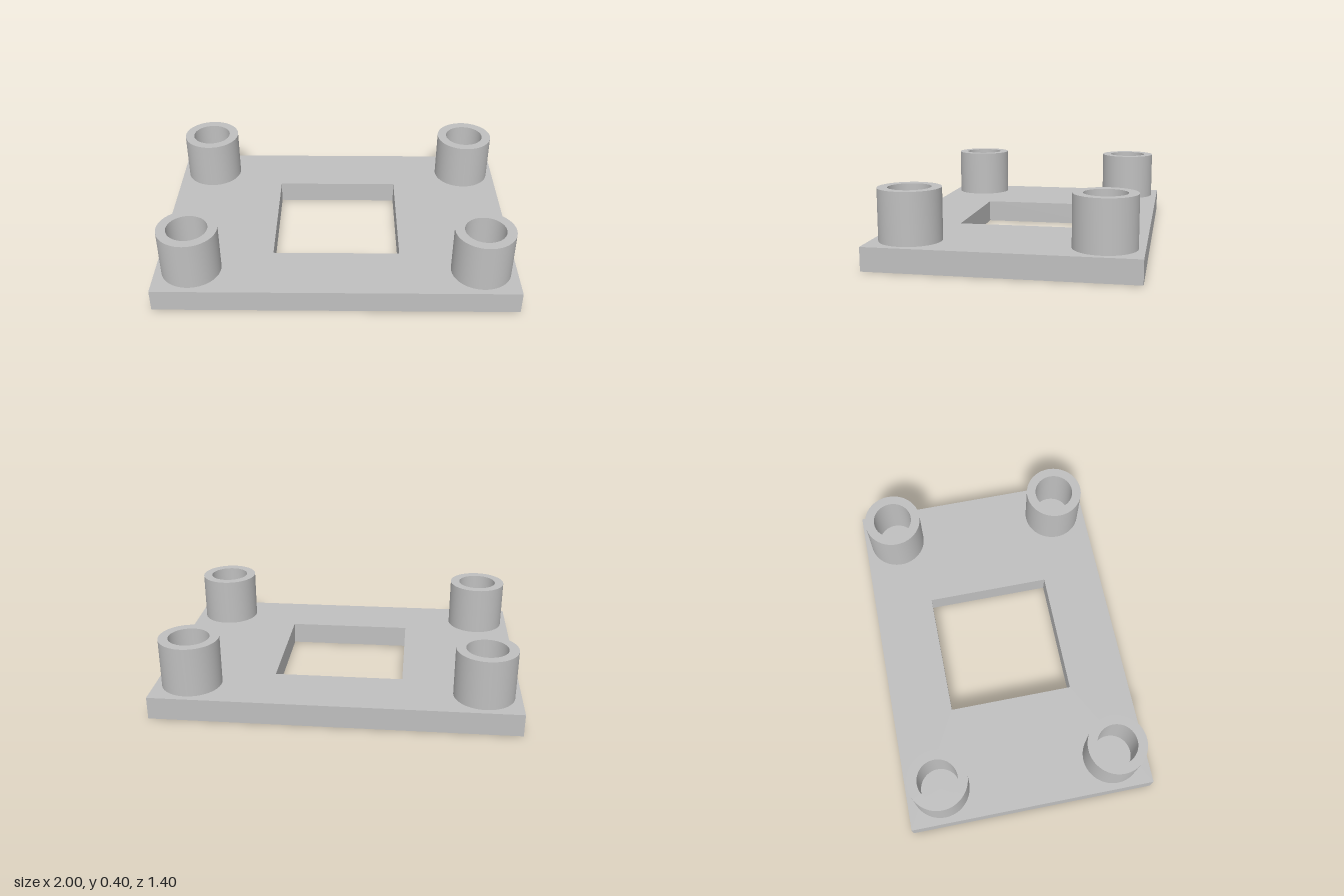
import * as THREE from 'three';
import { toCreasedNormals } from 'three/addons/utils/BufferGeometryUtils.js';

const PLATE_TOP = 0.126, POST_TOP = 0.402;

// Traces a centred rectangle onto a shape or hole path
function rectangle(path, halfW, halfD) {
  return path.moveTo(-halfW, -halfD).lineTo(halfW, -halfD)
    .lineTo(halfW, halfD).lineTo(-halfW, halfD).closePath();
}

export function createModel() {
  const model = new THREE.Group();
  model.name = 'mountingPlate';
  const grey = new THREE.MeshStandardMaterial({ color: 0xbfbfbf });
  grey.name = 'plain grey';

  // Flat plate with a square window
  const outline = rectangle(new THREE.Shape(), 1, 0.7);
  outline.holes.push(rectangle(new THREE.Path(), 0.357, 0.357));
  const plateGeometry = new THREE.ExtrudeGeometry(outline, { depth: PLATE_TOP, bevelEnabled: false });
  plateGeometry.rotateX(-Math.PI / 2);
  const plate = new THREE.Mesh(plateGeometry, grey);
  plate.name = 'basePlate';
  model.add(plate);

  // Hollow post: outer wall, rim, bore and bore floor
  const profile = [
    [0.165, PLATE_TOP], [0.165, POST_TOP], [0.112, POST_TOP],
    [0.112, PLATE_TOP + 0.001], [0, PLATE_TOP + 0.001],
  ].map(([r, y]) => new THREE.Vector2(r, y));
  const postGeometry = toCreasedNormals(new THREE.LatheGeometry(profile, 64), Math.PI / 6);

  // One post near each corner
  for (const [end, z] of [['front', 0.5], ['back', -0.5]]) {
    for (const [side, x] of [['Left', 0.8], ['Right', -0.8]]) {
      const post = new THREE.Mesh(postGeometry, grey);
      post.name = `${end}${side}Post`;
      post.position.set(x, 0, z);
      model.add(post);
    }
  }
  return model;
}
